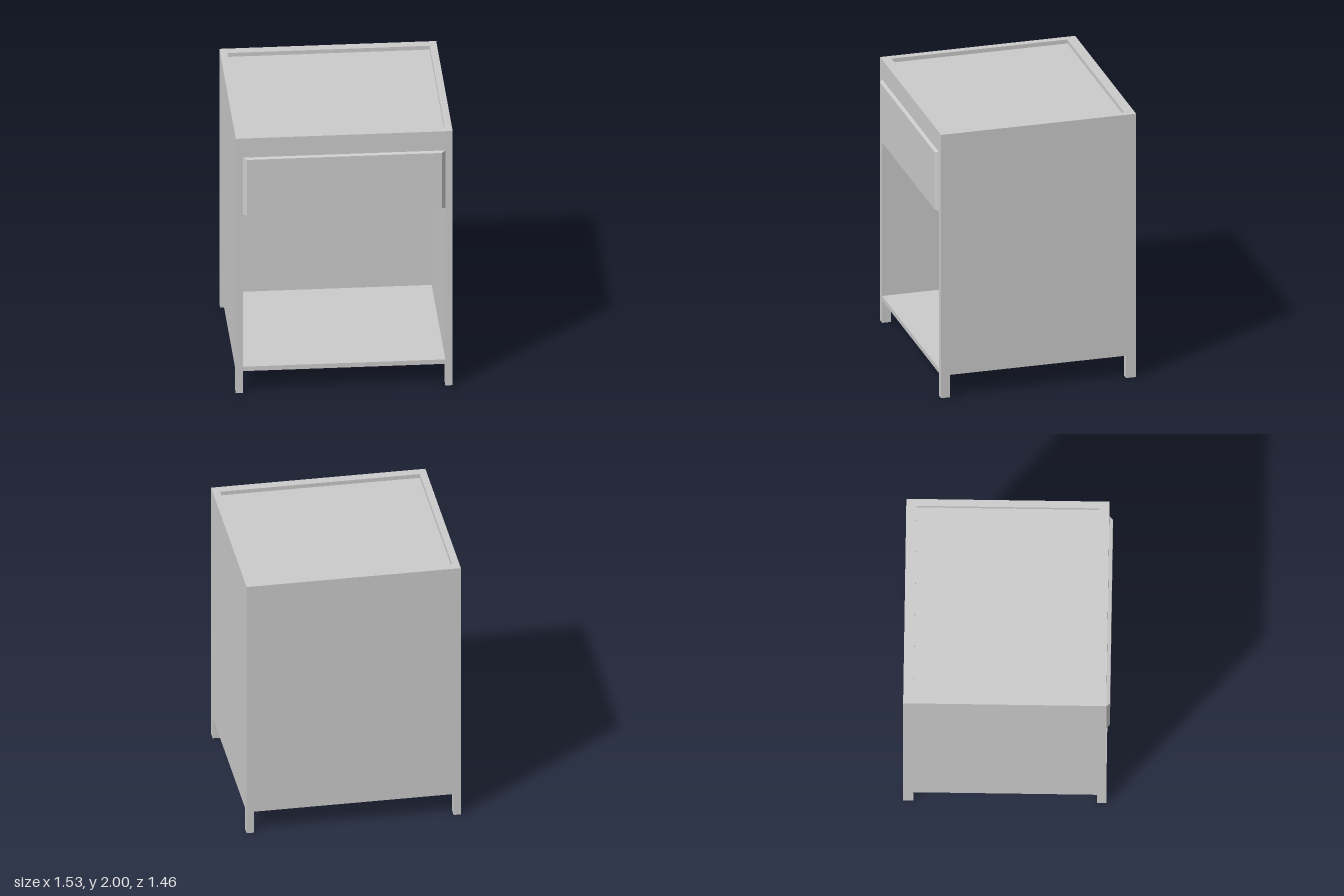
import * as THREE from 'three';

const W = 0.767, IN = 0.715;            // outer and inner half widths
const FRONT = 0.705, BACK = -0.727;     // case faces in z
const CAVITY = -0.48;                   // rear wall of the open compartment
const BASE = 0.17, FLOOR = 0.205, CEIL = 1.4, DECK = 1.97, TOP = 2;

export function createModel() {
  const model = new THREE.Group();
  model.name = 'nightstand';
  const material = new THREE.MeshStandardMaterial({ color: 0xcccccc, flatShading: true });

  const add = (name, geometry) => {
    const mesh = new THREE.Mesh(geometry, material);
    mesh.name = name;
    model.add(mesh);
    return mesh;
  };
  const box = (name, x0, x1, y0, y1, z0, z1) => {
    const mesh = add(name, new THREE.BoxGeometry(x1 - x0, y1 - y0, z1 - z0));
    mesh.position.set((x0 + x1) / 2, (y0 + y1) / 2, (z0 + z1) / 2);
  };
  const rect = (Type, x0, x1, y0, y1) => new Type([
    [x0, y0], [x1, y0], [x1, y1], [x0, y1],
  ].map(([x, y]) => new THREE.Vector2(x, y)));
  const frame = (outer, inner, depth) => {
    const shape = rect(THREE.Shape, ...outer);
    shape.holes.push(rect(THREE.Path, ...inner));
    return new THREE.ExtrudeGeometry(shape, { depth, bevelEnabled: false });
  };

  // Case with the open compartment, closed by a thick back
  add('case', frame([-W, W, BASE, DECK], [-IN, IN, FLOOR, CEIL], FRONT - CAVITY))
    .position.z = CAVITY;
  box('back', -W, W, BASE, DECK, BACK, CAVITY);

  // Raised rim around the recessed top (shape y becomes -z)
  const rim = add('topRim', frame([-W, W, -FRONT, -BACK], [-IN, IN, -0.637, 0.655], TOP - DECK));
  rim.rotation.x = -Math.PI / 2;
  rim.position.y = DECK;

  // Drawer front with sloped edges: the front corners are drawn inward
  const drawer = new THREE.BoxGeometry(2 * IN, 0.45, 0.025);
  const p = drawer.attributes.position;
  for (let i = 0; i < p.count; i++) {
    if (p.getZ(i) > 0) {
      p.setX(i, p.getX(i) - Math.sign(p.getX(i)) * 0.027);
      p.setY(i, p.getY(i) - Math.sign(p.getY(i)) * 0.007);
    }
  }
  drawer.computeVertexNormals();
  add('drawerFront', drawer).position.set(0, 1.625, FRONT + 0.0125);

  // Corner legs, flush with the case sides
  for (const [side, x0, x1] of [['right', -W, -IN], ['left', IN, W]]) {
    box(side + 'FrontLeg', x0, x1, 0, BASE, 0.64, FRONT);
    box(side + 'BackLeg', x0, x1, 0, BASE, BACK, -0.653);
  }
  return model;
}
